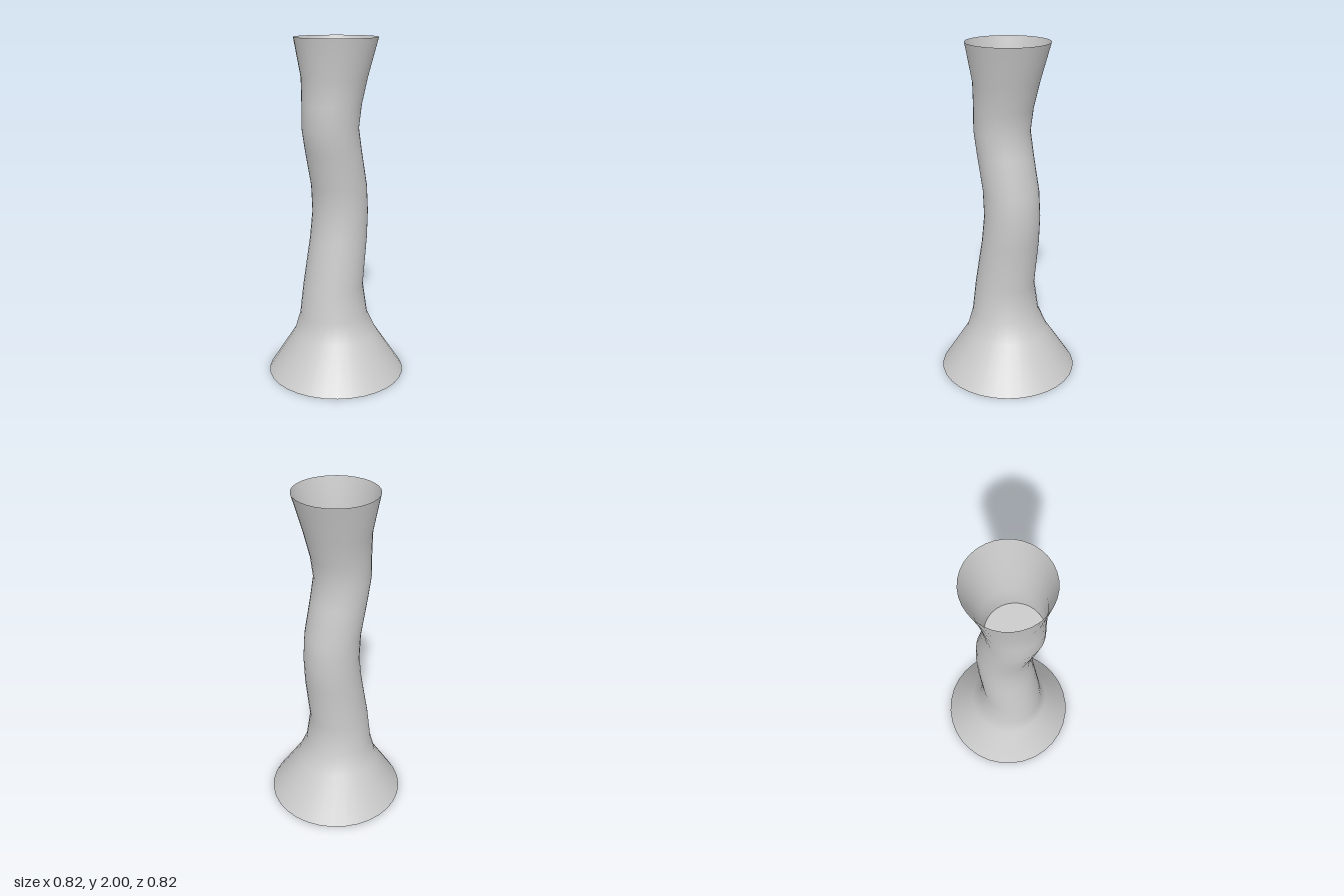
import * as THREE from 'three';

const SIDES = 32;
const FLOOR_RING = 8;

// Cross-sections from foot to rim: [height, centre x, radius]
const RINGS = [
  [0, 0, 0.41],
  [0.254, -0.006, 0.247],
  [0.375, -0.021, 0.202],
  [0.56, -0.025, 0.178],
  [0.84, 0.021, 0.169],
  [1.0, 0.035, 0.164],
  [1.155, 0.025, 0.163],
  [1.365, -0.022, 0.163],
  [1.5, -0.048, 0.163],
  [1.63, -0.036, 0.17],
  [1.78, -0.014, 0.188],
  [2, 0, 0.238],
];

// Loft horizontal circles into one open, smooth skin
function loft(rings) {
  const positions = [];
  const index = [];
  rings.forEach(([y, cx, r], i) => {
    for (let j = 0; j < SIDES; j++) {
      const a = (j / SIDES) * Math.PI * 2;
      positions.push(cx + r * Math.cos(a), y, r * Math.sin(a));
      if (i === 0) continue;
      const k = (j + 1) % SIDES;
      const lo = (i - 1) * SIDES;
      const hi = i * SIDES;
      index.push(lo + j, hi + j, lo + k, lo + k, hi + j, hi + k);
    }
  });
  const geometry = new THREE.BufferGeometry();
  geometry.setAttribute('position', new THREE.Float32BufferAttribute(positions, 3));
  geometry.setIndex(index);
  geometry.computeVertexNormals();
  return geometry;
}

export function createModel() {
  const model = new THREE.Group();
  model.name = 'wavyVase';
  const material = new THREE.MeshStandardMaterial({ color: 0xcccccc, side: THREE.DoubleSide });

  // Flared foot, bent stem and cup wall
  const wall = new THREE.Mesh(loft(RINGS), material);
  wall.name = 'wall';
  model.add(wall);

  // Flat floor of the cup at the neck
  const [y, cx, r] = RINGS[FLOOR_RING];
  const floor = new THREE.Mesh(new THREE.CircleGeometry(r, SIDES), material);
  floor.name = 'cupFloor';
  floor.rotation.x = -Math.PI / 2;
  floor.position.set(cx, y, 0);
  model.add(floor);

  return model;
}
